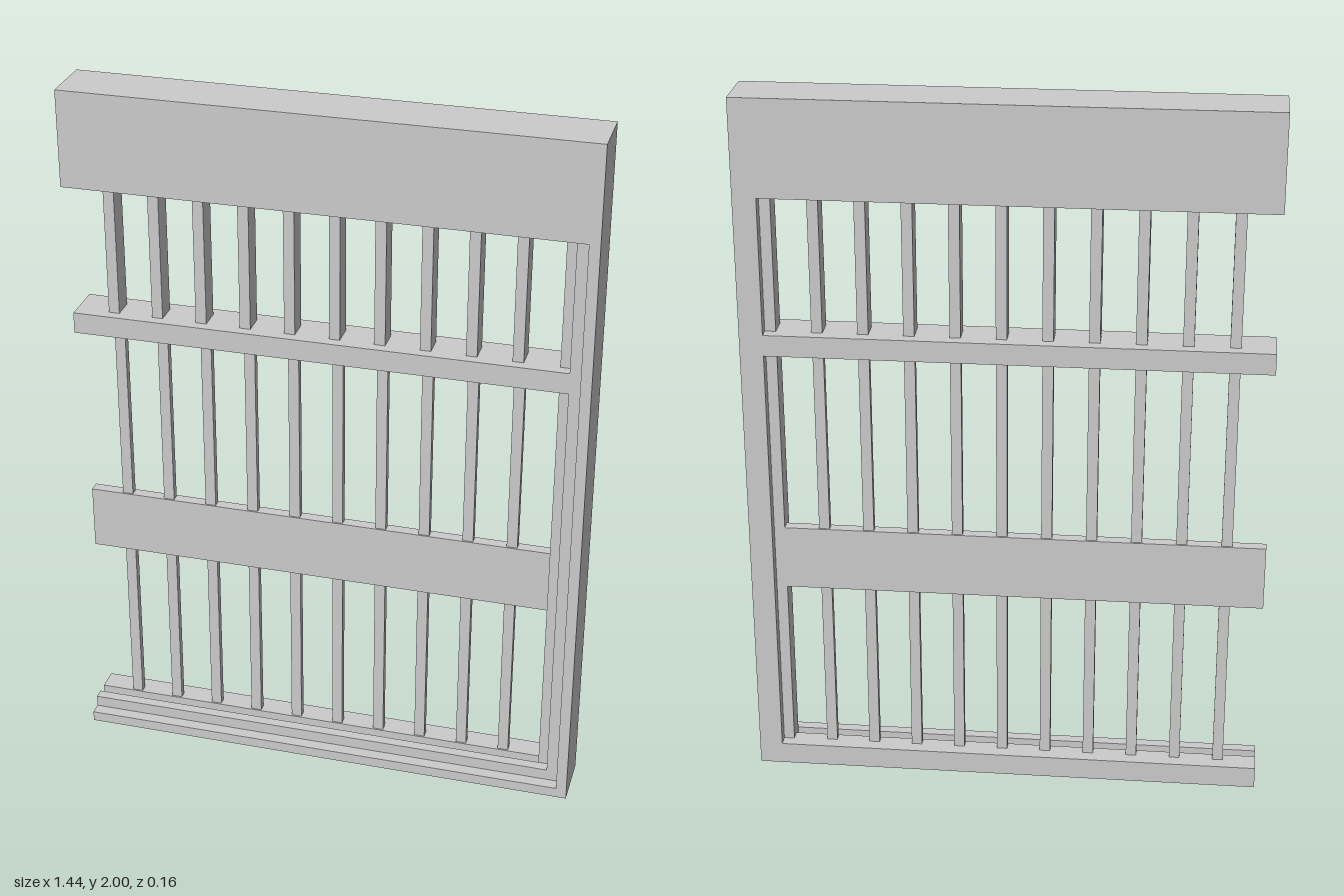
import * as THREE from 'three';

const material = new THREE.MeshStandardMaterial({ color: 0xcccccc, flatShading: true });

// Box given by its lower and upper limits on each axis
function block(name, [x0, x1], [y0, y1], [z0, z1]) {
  const mesh = new THREE.Mesh(new THREE.BoxGeometry(x1 - x0, y1 - y0, z1 - z0), material);
  mesh.name = name;
  mesh.position.set((x0 + x1) / 2, (y0 + y1) / 2, (z0 + z1) / 2);
  return mesh;
}

export function createModel() {
  const group = new THREE.Group();
  group.name = 'latticeWindow';
  const left = -0.72, right = 0.72, jamb = 0.655;
  const depth = [-0.08, 0.08];

  // Outer frame: header, stepped side post and base of the sill
  group.add(
    block('header', [left, right], [1.73, 2], depth),
    block('sidePost', [0.69, right], [0, 1.73], depth),
    block('sidePostStep', [jamb, 0.69], [0.03, 1.73], [-0.08, 0.045]),
    block('sillBase', [left, 0.69], [0, 0.03], depth)
  );

  // Two raised sill ridges with a groove between them
  group.add(
    block('sillBackRidge', [left, jamb], [0.03, 0.063], [-0.08, -0.015]),
    block('sillFrontRidge', [left, jamb], [0.03, 0.063], [0.015, 0.045])
  );

  // Cross rails and the stile against the side post
  group.add(
    block('upperRail', [left, jamb], [1.285, 1.345], [-0.08, 0.045]),
    block('middleRail', [left, 0.625], [0.567, 0.753], [-0.047, -0.015]),
    block('lowerStile', [0.625, jamb], [0.03, 1.285], [-0.047, 0.015]),
    block('upperStile', [0.625, jamb], [1.345, 1.73], [-0.047, 0.015])
  );

  // Vertical bars: deep above the upper rail, slim below it
  for (let i = 0; i < 10; i++) {
    const x = -0.612 + i * 0.125;
    const span = [x - 0.015, x + 0.015];
    group.add(
      block('upperBar', span, [1.345, 1.73], [-0.047, 0.015]),
      block('middleBar', span, [0.753, 1.285], [-0.042, -0.02]),
      block('lowerBar', span, [0.063, 0.567], [-0.042, -0.02])
    );
  }
  return group;
}
